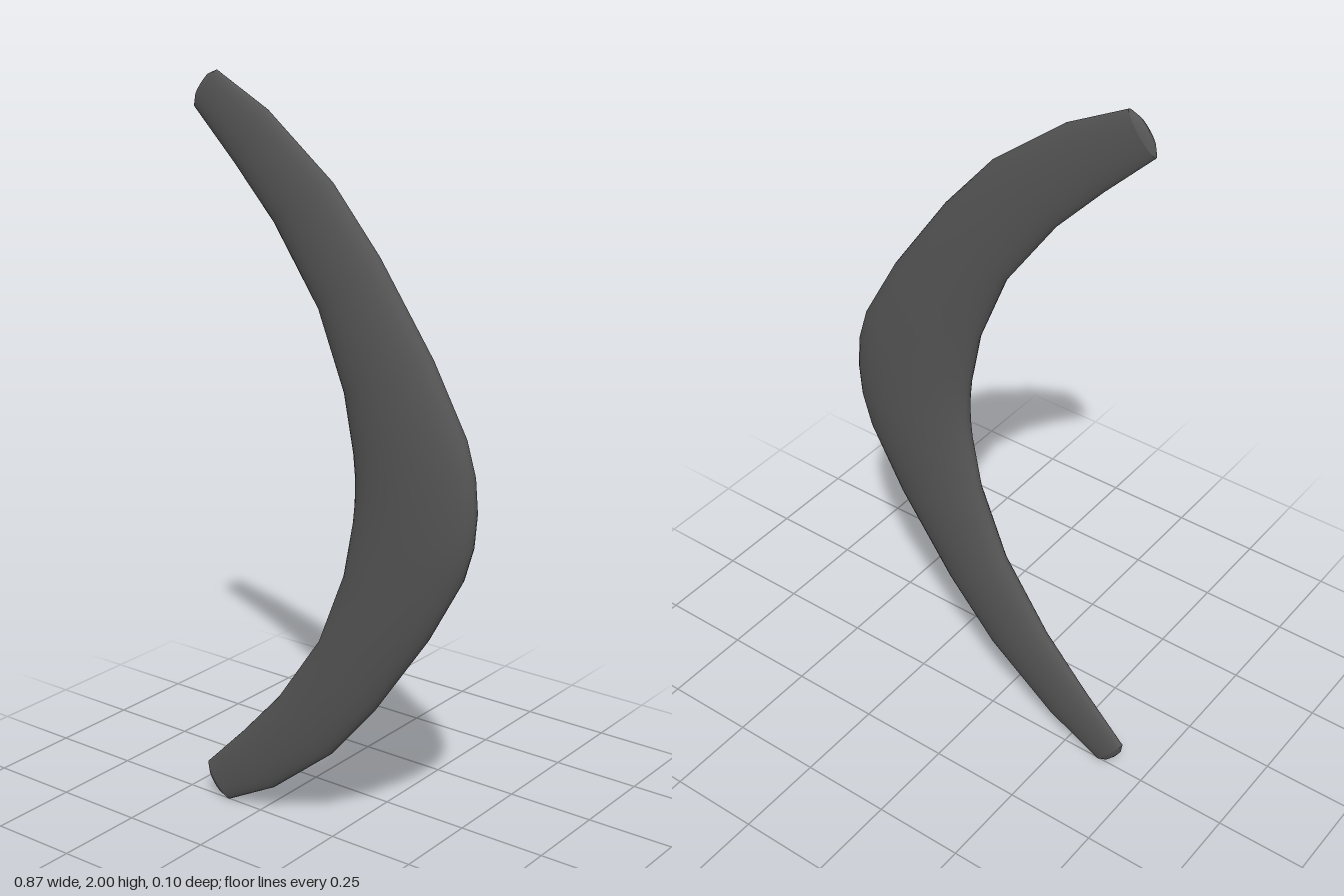
import * as THREE from 'three';

// upper-arm sections: outer x, outer y, inner x, inner y, half thickness (y measured from the elbow)
const ARM = [
  [0.435, 0.0, 0.075, 0.0, 0.051],
  [0.427, 0.09, 0.074, 0.04, 0.051],
  [0.4, 0.18, 0.069, 0.09, 0.05],
  [0.3, 0.36, 0.04, 0.24, 0.047],
  [0.14, 0.59, -0.04, 0.44, 0.04],
  [0.0, 0.755, -0.18, 0.64, 0.031],
  [-0.2, 0.915, -0.305, 0.775, 0.023],
  [-0.36, 1.0, -0.435, 0.905, 0.015],
];
const SIDES = 32;

// elliptical ring spanning the outer and inner edges of one section
function ring([ox, oy, ix, iy, t], grow = 1, shift = [0, 0]) {
  const points = [];
  for (let j = 0; j < SIDES; j++) {
    const a = (j / SIDES) * Math.PI * 2;
    const c = (Math.cos(a) * grow) / 2;
    points.push([
      (ox + ix) / 2 + (ox - ix) * c + shift[0],
      (oy + iy) / 2 + (oy - iy) * c + shift[1],
      Math.sin(a) * t * grow,
    ]);
  }
  return points;
}

// smooth skin joining rings that run upward
function loft(rings) {
  const index = [];
  for (let i = 0; i < rings.length - 1; i++) {
    for (let j = 0; j < SIDES; j++) {
      const k = (j + 1) % SIDES;
      const a = i * SIDES + j, b = i * SIDES + k;
      const c = a + SIDES, d = b + SIDES;
      index.push(a, c, b, b, c, d);
    }
  }
  const geometry = new THREE.BufferGeometry();
  geometry.setAttribute('position', new THREE.Float32BufferAttribute(rings.flat(2), 3));
  geometry.setIndex(index);
  geometry.computeVertexNormals();
  return geometry;
}

export function createModel() {
  const group = new THREE.Group();
  group.name = 'boomerang';
  const darkGrey = new THREE.MeshStandardMaterial({ color: 0x555555 });
  darkGrey.name = 'darkGrey';

  const add = (name, geometry) => {
    const mesh = new THREE.Mesh(geometry, darkGrey);
    mesh.name = name;
    group.add(mesh);
  };

  // curved body, the lower arm mirroring the upper one
  const place = (s, side) => [s[0], 1 + side * s[1], s[2], 1 + side * s[3], s[4]];
  const lower = ARM.slice(1).reverse().map((s) => place(s, -1));
  const upper = ARM.map((s) => place(s, 1));
  add('body', loft([...lower, ...upper].map((s) => ring(s))));

  // shallow domed ends
  for (const side of [1, -1]) {
    const tip = place(ARM[ARM.length - 1], side);
    const rings = [[1, 0], [0.6, 0.014], [0.001, 0.018]].map(([grow, out]) =>
      ring(tip, grow, [-0.78 * out, side * 0.62 * out]));
    if (side < 0) rings.reverse();
    add(side > 0 ? 'upperTip' : 'lowerTip', loft(rings));
  }
  return group;
}
